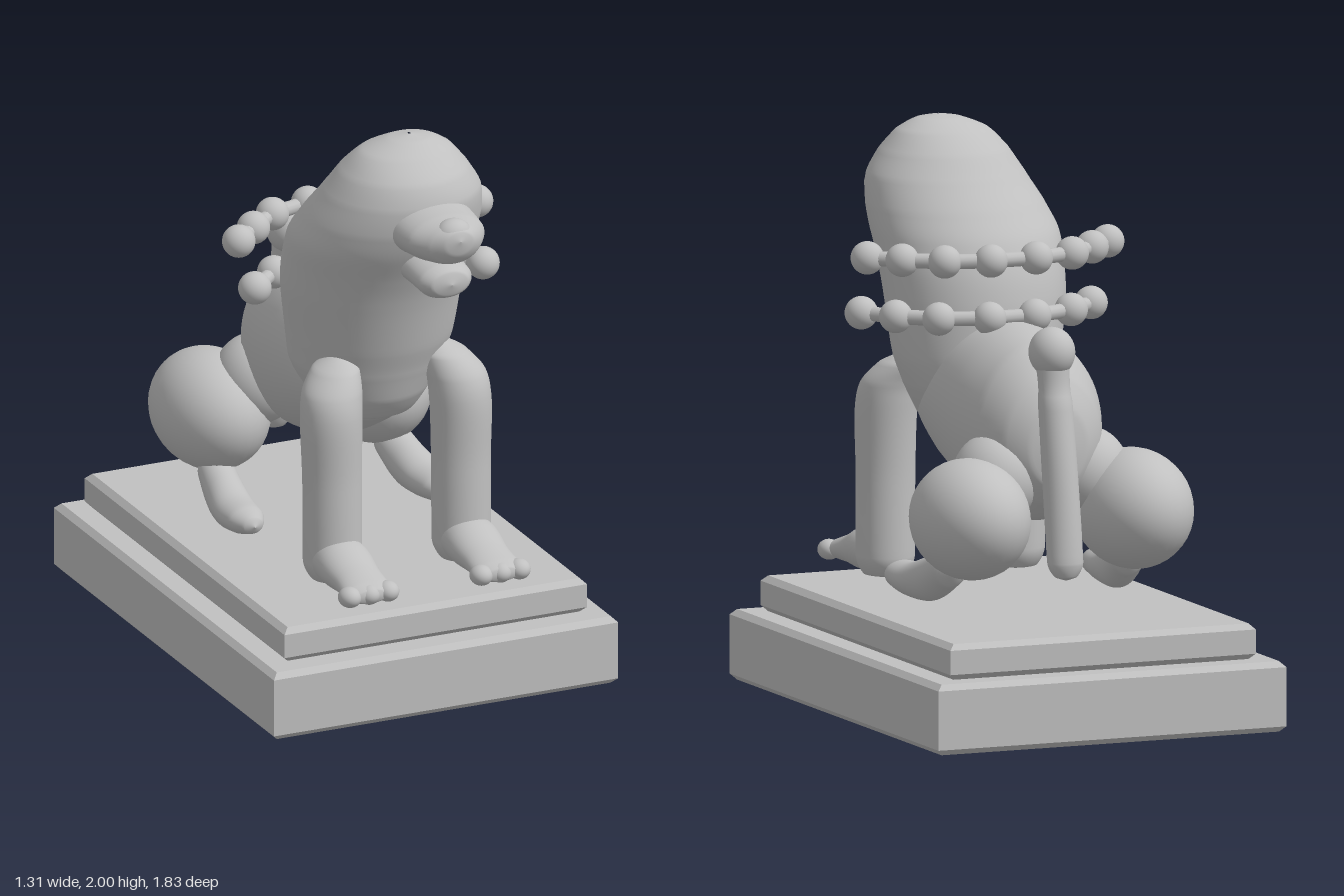
import * as THREE from 'three';

const stone = new THREE.MeshStandardMaterial({ color: 0xc0c0c0 });
stone.name = 'stone grey';

function add(parent, name, geometry, x = 0, y = 0, z = 0) {
  const mesh = new THREE.Mesh(geometry, stone);
  mesh.name = name;
  mesh.position.set(x, y, z);
  parent.add(mesh);
  return mesh;
}

// Smooth skin through elliptical rings [x, y, z, halfWidth, halfOther].
// axis 'y': level rings listed upwards; axis 'z': upright rings listed forwards.
function loft(axis, rings, sides = 40, steps = 8) {
  const centres = new THREE.CatmullRomCurve3(rings.map(r => new THREE.Vector3(r[0], r[1], r[2])));
  const radii = new THREE.CatmullRomCurve3(rings.map(r => new THREE.Vector3(r[3], r[4], 0)));
  const count = (rings.length - 1) * steps;
  const pos = [], index = [];
  for (let i = 0; i <= count; i++) {
    const c = centres.getPoint(i / count), r = radii.getPoint(i / count);
    const a = Math.max(r.x, 0.001), b = Math.max(r.y, 0.001);
    for (let j = 0; j < sides; j++) {
      const t = j / sides * Math.PI * 2, u = a * Math.cos(t), v = b * Math.sin(t);
      if (axis === 'y') pos.push(c.x + u, c.y, c.z - v);
      else pos.push(c.x + u, c.y + v, c.z);
      if (i < count) {
        const k = (j + 1) % sides, p = i * sides, q = p + sides;
        index.push(p + j, p + k, q + j, p + k, q + k, q + j);
      }
    }
  }
  const g = new THREE.BufferGeometry();
  g.setAttribute('position', new THREE.Float32BufferAttribute(pos, 3));
  g.setIndex(index);
  g.computeVertexNormals();
  return g;
}

const ball = (rx, ry = rx, rz = rx) => new THREE.SphereGeometry(1, 32, 20).scale(rx, ry, rz);

// Slab with chamfered edges, standing on y0
function slab(w, d, y0, y1, z) {
  const c = 0.02, x = w / 2 - c, h = d / 2 - c;
  const shape = new THREE.Shape([[-x, -h], [x, -h], [x, h], [-x, h]].map(p => new THREE.Vector2(...p)));
  const g = new THREE.ExtrudeGeometry(shape, {
    depth: y1 - y0 - 2 * c, bevelEnabled: true, bevelSegments: 1, bevelSize: c, bevelThickness: c,
  });
  return g.rotateX(-Math.PI / 2).translate(0, y0 + c, z);
}

// Row of beads joined by thin links
function beadRow(parent, name, y, points) {
  const row = new THREE.Group();
  row.name = name;
  points.forEach(([x, z], i) => {
    add(row, 'bead', ball(0.058), x, y, z);
    if (!i) return;
    const a = new THREE.Vector3(points[i - 1][0], y, points[i - 1][1]), b = new THREE.Vector3(x, y, z);
    const d = b.clone().sub(a);
    const link = add(row, 'beadLink', new THREE.CylinderGeometry(0.026, 0.026, d.length(), 12, 1, true));
    link.position.copy(a).add(b).multiplyScalar(0.5);
    link.quaternion.setFromUnitVectors(new THREE.Vector3(0, 1, 0), d.normalize());
  });
  parent.add(row);
}

export function createModel() {
  const model = new THREE.Group();
  model.name = 'guardianStatue';

  // Stepped plinth
  add(model, 'lowerPlinth', slab(1.31, 1.805, 0, 0.247, -0.008));
  add(model, 'upperPlinth', slab(1.15, 1.64, 0.247, 0.372, -0.01));

  // Head, neck and chest: [y, back z, front z, right x, left x]
  const column = [
    [0.88, 0.22, 0.3, -0.03, 0.03], [0.92, 0.1, 0.4, -0.16, 0.16], [1.0, 0.0, 0.46, -0.22, 0.22],
    [1.1, -0.04, 0.495, -0.265, 0.27], [1.2, -0.04, 0.53, -0.285, 0.3], [1.4, -0.02, 0.59, -0.32, 0.315],
    [1.5, 0.005, 0.63, -0.327, 0.32], [1.6, 0.05, 0.68, -0.33, 0.325], [1.7, 0.125, 0.72, -0.3, 0.325],
    [1.8, 0.21, 0.73, -0.25, 0.305], [1.88, 0.275, 0.7, -0.2, 0.255], [1.95, 0.355, 0.625, -0.13, 0.195],
    [1.988, 0.43, 0.555, -0.035, 0.125], [2.0, 0.488, 0.502, 0.04, 0.05],
  ];
  add(model, 'headAndChest', loft('y', column.map(([y, b, f, r, l]) =>
    [(r + l) / 2, y, (b + f) / 2, (l - r) / 2, (f - b) / 2]), 56));

  // Muzzle and jaw
  add(model, 'muzzle', loft('z', [
    [0.045, 1.72, 0.58, 0.16, 0.12], [0.045, 1.72, 0.72, 0.155, 0.095], [0.045, 1.72, 0.8, 0.145, 0.085],
    [0.045, 1.722, 0.87, 0.1, 0.073], [0.045, 1.735, 0.907, 0.055, 0.045], [0.045, 1.745, 0.92, 0.002, 0.002],
  ]));
  add(model, 'nose', ball(0.065, 0.055, 0.055), 0.045, 1.755, 0.857);
  add(model, 'jaw', loft('z', [
    [0.045, 1.58, 0.56, 0.11, 0.08], [0.045, 1.57, 0.7, 0.105, 0.07], [0.045, 1.56, 0.79, 0.1, 0.065],
    [0.045, 1.56, 0.833, 0.07, 0.045], [0.045, 1.56, 0.848, 0.002, 0.002],
  ]));

  // Back, belly and rump
  add(model, 'torso', loft('z', [
    [0, 0.96, -0.465, 0.01, 0.01], [0, 0.97, -0.445, 0.11, 0.14], [0, 0.985, -0.39, 0.18, 0.225],
    [0, 1.0, -0.28, 0.235, 0.31], [0, 1.02, -0.12, 0.26, 0.325], [0, 1.04, 0, 0.26, 0.315],
    [0, 1.06, 0.15, 0.25, 0.28], [0, 1.05, 0.33, 0.2, 0.16], [0, 1.05, 0.42, 0.01, 0.01],
  ], 56));

  // Legs on both sides
  for (const [side, s] of [['left', 1], ['right', -1]]) {
    const flip = rings => rings.map(([x, ...rest]) => [x * s, ...rest]);
    add(model, side + 'FrontLeg', loft('y', flip([
      [0.245, 0.393, 0.49, 0.01, 0.01], [0.245, 0.405, 0.49, 0.075, 0.075], [0.245, 0.47, 0.49, 0.103, 0.102],
      [0.245, 0.75, 0.488, 0.104, 0.1], [0.245, 1.0, 0.48, 0.108, 0.11], [0.235, 1.08, 0.465, 0.105, 0.105],
      [0.205, 1.15, 0.43, 0.08, 0.09], [0.18, 1.2, 0.4, 0.01, 0.01],
    ])));
    add(model, side + 'FrontPaw', loft('z', flip([
      [0.245, 0.48, 0.46, 0.085, 0.08], [0.245, 0.482, 0.58, 0.1, 0.085], [0.245, 0.463, 0.7, 0.09, 0.058],
      [0.248, 0.45, 0.79, 0.09, 0.04], [0.25, 0.447, 0.825, 0.06, 0.025], [0.25, 0.447, 0.835, 0.002, 0.002],
    ])));
    for (const t of [-0.072, 0, 0.072]) {
      add(model, side + 'Toe', ball(0.04, 0.036, 0.045), s * 0.25 + t, 0.447, 0.798);
    }
    add(model, side + 'Haunch', ball(0.2, 0.21, 0.265), s * 0.307, 0.728, -0.383);
    add(model, side + 'Hip', ball(0.15, 0.16, 0.16), s * 0.17, 0.85, -0.29);
    add(model, side + 'HindFoot', loft('z', flip([
      [0.33, 0.56, -0.33, 0.01, 0.01], [0.335, 0.545, -0.28, 0.065, 0.07], [0.35, 0.495, -0.17, 0.072, 0.08],
      [0.365, 0.473, -0.05, 0.076, 0.062], [0.37, 0.476, 0.05, 0.068, 0.05],
      [0.37, 0.476, 0.11, 0.038, 0.03], [0.37, 0.476, 0.128, 0.002, 0.002],
    ])));
  }

  // Upright tail with a knob
  add(model, 'tail', loft('y', [
    [0.035, 0.528, -0.59, 0.005, 0.005], [0.035, 0.54, -0.588, 0.04, 0.035], [0.035, 0.59, -0.582, 0.064, 0.056],
    [0.035, 0.9, -0.535, 0.062, 0.064], [0.035, 1.14, -0.495, 0.06, 0.06], [0.035, 1.3, -0.468, 0.06, 0.06],
  ], 28));
  add(model, 'tailKnob', ball(0.08, 0.087, 0.087), 0.035, 1.308, -0.467);

  // Strings of beads behind the neck
  beadRow(model, 'upperBeads', 1.568, [
    [-0.455, 0.175], [-0.355, 0.08], [-0.24, -0.012], [-0.085, -0.057],
    [0.085, -0.057], [0.24, -0.012], [0.36, 0.08], [0.45, 0.175],
  ]);
  beadRow(model, 'lowerBeads', 1.365, [
    [-0.373, 0.13], [-0.25, 0.02], [-0.085, -0.045], [0.085, -0.045], [0.25, 0.015], [0.365, 0.125], [0.442, 0.245],
  ]);

  return model;
}
